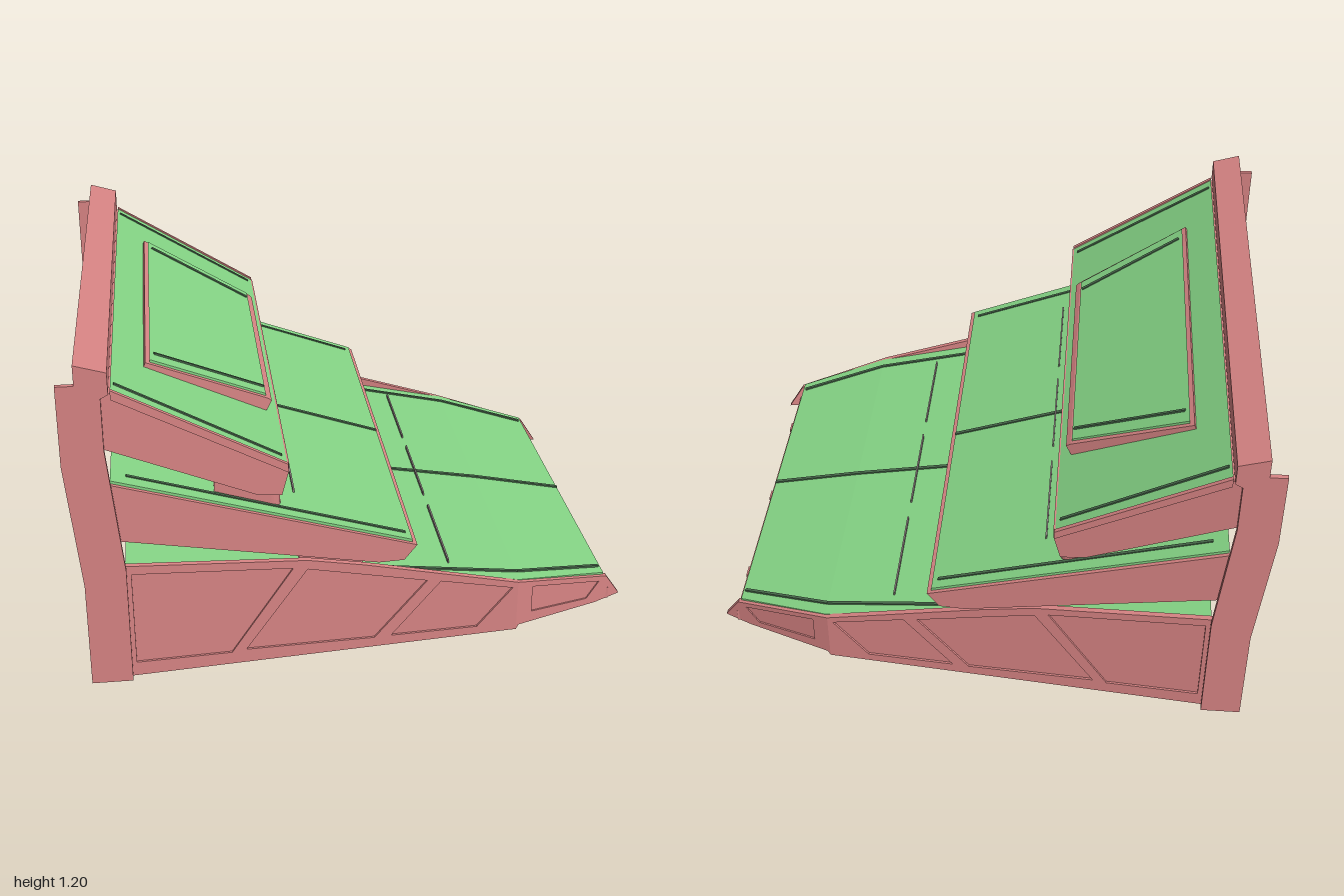
import * as THREE from 'three';

const mat = (color) => new THREE.MeshStandardMaterial({ color, flatShading: true });
const RED = mat(0xd98585), GREEN = mat(0x86d686), DARK = mat(0x4a6b4d), GREY = mat(0x8c8080), BLUE = mat(0x6a5a9a);

const lerp = (x, [x0, v0], [x1, v1]) => v0 + (v1 - v0) * (x - x0) / (x1 - x0);
const outline = (pts) => pts.map(([x, y]) => new THREE.Vector2(x, y));

function add(parent, name, geometry, material) {
  const mesh = new THREE.Mesh(geometry, material);
  mesh.name = name;
  parent.add(mesh);
  return mesh;
}

// Extrudes a side profile over u = 0..1, then places it with z = rule(x, u)
function profileSolid(pts, rule, holes = []) {
  const shape = new THREE.Shape(outline(pts));
  holes.forEach((h) => shape.holes.push(new THREE.Path(outline(h))));
  const g = new THREE.ExtrudeGeometry(shape, { depth: 1, bevelEnabled: false });
  const p = g.attributes.position;
  for (let i = 0; i < p.count; i++) p.setZ(i, rule(p.getX(i), p.getZ(i)));
  g.computeVertexNormals();
  return g;
}

// Solid reaching across the model; half width runs linearly from a = [x, w] to b
const across = (pts, a, b) => profileSolid(pts, (x, u) => (2 * u - 1) * lerp(x, a, b));

// Thin plate on side s; its outer face runs linearly from a = [x, z] to b
const sidePlate = (pts, a, b, t, s, holes) => profileSolid(pts, (x, u) => {
  const z = lerp(x, a, b);
  return s > 0 ? z - t + t * u : -z + t * u;
}, holes);

// Sloped slab whose top runs from (x0, y0) to (x1, y1), half widths w0 to w1
const slab = (x0, y0, x1, y1, w0, w1, t) =>
  across([[x0, y0 - t], [x1, y1 - t], [x1, y1], [x0, y0]], [x0, w0], [x1, w1]);

// Thin bar between two points
function strip(parent, name, a, b, width, height, material) {
  const from = new THREE.Vector3(...a), to = new THREE.Vector3(...b);
  const m = add(parent, name, new THREE.BoxGeometry(width, height, from.distanceTo(to)), material);
  m.position.copy(from).lerp(to, 0.5);
  m.lookAt(to);
  return m;
}

// Upright support with a rounded front
function support(parent, name, x0, x1, y0, y1, z, w) {
  const r = w / 2;
  const s = new THREE.Shape();
  s.moveTo(x0, -r);
  s.lineTo(x1 - r, -r);
  s.absarc(x1 - r, 0, r, -Math.PI / 2, Math.PI / 2, false);
  s.lineTo(x0, r);
  const g = new THREE.ExtrudeGeometry(s, { depth: y1 - y0, bevelEnabled: false, curveSegments: 6 });
  g.rotateX(-Math.PI / 2);
  add(parent, name, g, RED).position.set(0, y0, z);
}

function group(parent, name) {
  const g = new THREE.Group();
  g.name = name;
  parent.add(g);
  return g;
}

export function createModel() {
  const model = new THREE.Group();
  model.name = 'steppedRamp';

  // Rear frame: two flat posts and a top beam
  const frame = group(model, 'rearFrame');
  const post = [[-0.955, 0.015], [-0.815, 0.015], [-0.815, 0.45], [-0.86, 0.9], [-0.86, 1.13], [-1, 1.13], [-1, 0.85], [-0.955, 0.4]];
  for (const s of [1, -1]) add(frame, 'post', sidePlate(post, [-1, 1], [0, 1], 0.018, s), RED);
  const beam = [[-0.94, 1.06], [-0.9, 1.06], [-0.835, 1.095], [-0.835, 1.17], [-0.94, 1.2]];
  add(frame, 'topBeam', across(beam, [-1, 1], [0, 1]), RED);

  // Lower ramp: side walls with sunken panels, tapering nose plates
  const lower = group(model, 'lowerRamp');
  const A = [-0.82, 0.975], B = [0.57, 0.825], N = [1, 0.67];
  const wall = [[-0.83, 0.018], [0.57, 0.002], [0.57, 0.2], [0, 0.35], [-0.2, 0.395], [-0.83, 0.455]];
  const nose = [[0.57, 0.002], [0.58, 0.018], [0.9, 0.018], [1, 0.03], [0.94, 0.12], [0.57, 0.2]];
  const wallPanels = [
    [[-0.8, 0.07], [-0.47, 0.06], [-0.25, 0.37], [-0.8, 0.42]],
    [[-0.42, 0.065], [0.04, 0.045], [0.23, 0.255], [-0.2, 0.36]],
    [[0.1, 0.045], [0.42, 0.035], [0.55, 0.18], [0.28, 0.245]],
  ];
  const nosePanel = [[0.63, 0.06], [0.86, 0.045], [0.91, 0.105], [0.63, 0.165]];
  for (const s of [1, -1]) {
    add(lower, 'sideWall', sidePlate(wall, [A[0], A[1] - 0.008], [B[0], B[1] - 0.008], 0.012, s), RED);
    add(lower, 'sideWallSkin', sidePlate(wall, A, B, 0.008, s, wallPanels), RED);
    add(lower, 'nosePlate', sidePlate(nose, [B[0], B[1] - 0.006], [N[0], N[1] - 0.006], 0.014, s), RED);
    add(lower, 'nosePlateSkin', sidePlate(nose, B, N, 0.006, s, [nosePanel]), RED);
    strip(lower, 'edgeSeam', [-0.2, 0.333, s * 0.83], [0.58, 0.202, s * 0.75], 0.012, 0.008, DARK);
    strip(lower, 'edgeSeam', [0.58, 0.202, s * 0.75], [0.92, 0.135, s * 0.64], 0.012, 0.008, DARK);
  }
  add(lower, 'rearDeck', slab(-0.82, 0.435, 0.58, 0.2, 0.955, 0.806, 0.016), GREEN);
  add(lower, 'noseDeck', slab(0.58, 0.2, 0.93, 0.13, 0.806, 0.682, 0.014), GREEN);
  strip(lower, 'centreSeam', [-0.8, 0.434, 0], [0.58, 0.203, 0], 0.014, 0.006, DARK);
  strip(lower, 'centreSeam', [0.58, 0.203, 0], [0.93, 0.133, 0], 0.014, 0.006, DARK);

  // Front crossbar with three feet
  strip(lower, 'crossbar', [0.94, 0.045, -0.69], [0.94, 0.045, 0.69], 0.025, 0.045, RED);
  for (const z of [-0.46, 0, 0.46]) {
    const foot = add(lower, 'foot', new THREE.BoxGeometry(0.06, 0.045, 0.045), RED);
    foot.position.set(0.93, 0.038, z);
  }

  // Middle step: hollow-looking wedge box with a green deck
  const middle = group(model, 'middleStep');
  const midProfile = [[-0.85, 0.555], [0.05, 0.365], [0.14, 0.365], [0.185, 0.42], [0.16, 0.428], [-0.85, 0.762]];
  add(middle, 'body', across(midProfile, [-0.84, 0.975], [0.18, 0.89]), RED);
  add(middle, 'deck', slab(-0.85, 0.772, 0.17, 0.435, 0.962, 0.877, 0.014), GREEN);
  strip(middle, 'centreSeam', [-0.83, 0.767, 0], [0.17, 0.437, 0], 0.014, 0.006, DARK);
  add(middle, 'frontInlay', new THREE.BoxGeometry(0.012, 0.02, 0.78), BLUE).position.set(0.168, 0.402, 0);
  for (const s of [1, -1])
    strip(middle, 'edgeSeam', [-0.8, 0.756, s * 0.9], [0.15, 0.443, s * 0.835], 0.012, 0.006, DARK);

  // Short cross cleats on the two walking decks
  const cleats = [[-0.3, 0.352], [0.33, 0.247], [-0.23, 0.572]];
  for (const [x, y] of cleats)
    for (const z of [-0.52, 0, 0.52])
      strip(model, 'cleat', [x, y, z - 0.21], [x, y, z + 0.21], 0.006, 0.018, GREY);

  // Upper step: tilted box with side rims and a green deck
  const upper = group(model, 'upperStep');
  const upProfile = [[-0.87, 0.9], [-0.37, 0.672], [-0.285, 0.66], [-0.26, 0.75], [-0.27, 0.765], [-0.83, 1.09], [-0.87, 1.09]];
  add(upper, 'body', across(upProfile, [-0.84, 0.98], [-0.26, 0.915]), RED);
  add(upper, 'deck', slab(-0.83, 1.098, -0.265, 0.772, 0.965, 0.9, 0.016), GREEN);
  for (const s of [1, -1]) {
    add(upper, 'sideRim', sidePlate([[-0.83, 1.07], [-0.262, 0.745], [-0.262, 0.775], [-0.83, 1.102]],
      [-0.84, 0.985], [-0.26, 0.92], 0.016, s), RED);
    strip(upper, 'edgeSeam', [-0.82, 1.094, s * 0.91], [-0.28, 0.782, s * 0.86], 0.012, 0.006, DARK);
  }
  strip(upper, 'frontLip', [-0.268, 0.757, -0.9], [-0.268, 0.757, 0.9], 0.018, 0.03, RED);

  // Raised tray on the upper deck: red frame, green lid
  const tray = [[-0.73, 1.03], [-0.31, 0.785], [-0.285, 0.83], [-0.3, 0.842], [-0.72, 1.052]];
  add(upper, 'trayFrame', across(tray, [-0.73, 0.655], [-0.29, 0.525]), RED);
  add(upper, 'trayLid', slab(-0.705, 1.054, -0.305, 0.853, 0.632, 0.512, 0.016), GREEN);
  for (const s of [1, -1])
    strip(upper, 'traySeam', [-0.69, 1.049, s * 0.565], [-0.31, 0.858, s * 0.455], 0.012, 0.006, DARK);

  // Supports between the steps
  for (const s of [-1, 0, 1]) {
    support(model, 'upperSupport', -0.51, -0.285, 0.57, 0.75, s * 0.83, 0.066);
    support(model, 'middleSupport', -0.22, 0.01, 0.285, 0.385, s * 0.77, 0.064);
  }
  return model;
}
